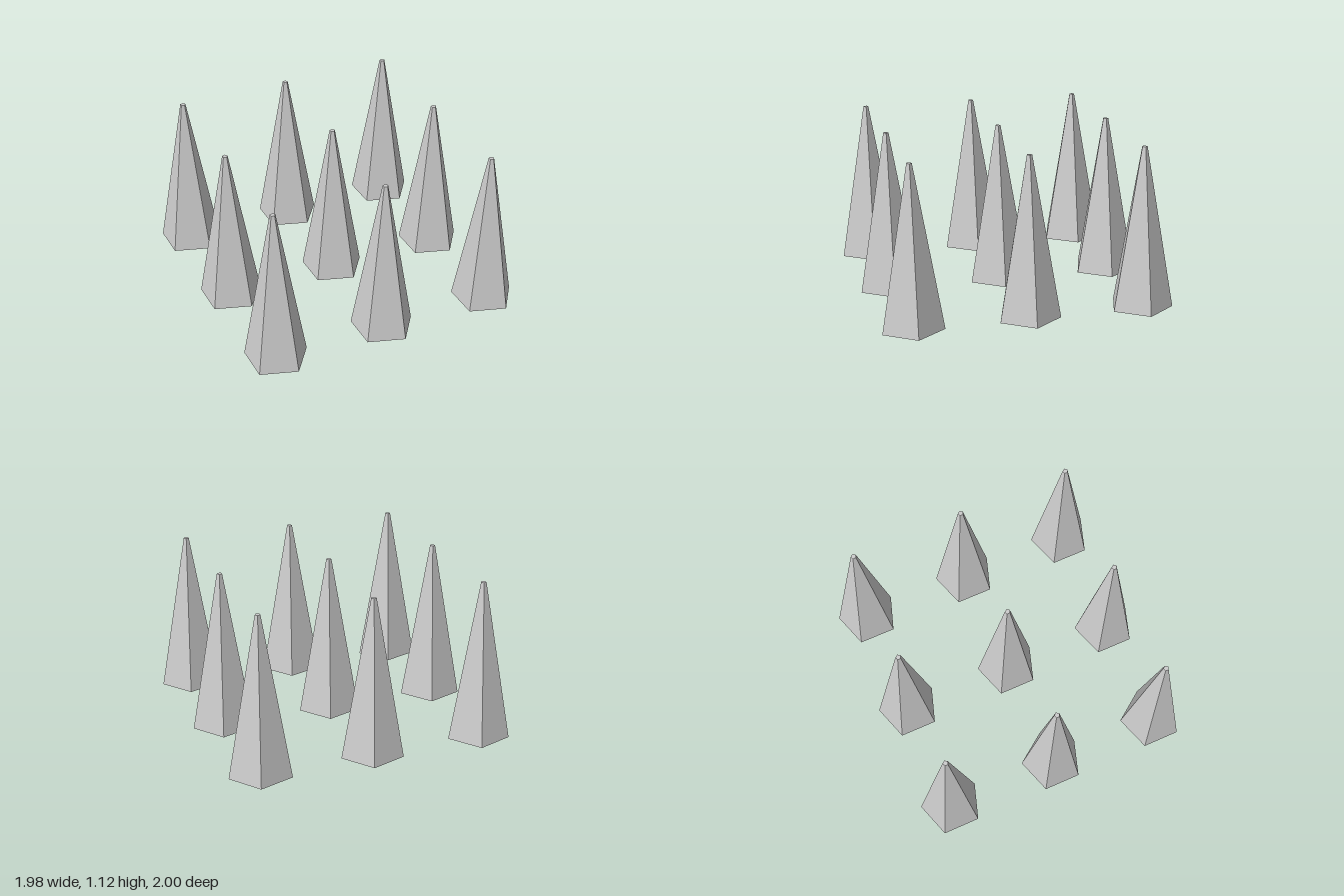
import * as THREE from 'three';

export function createModel() {
  const model = new THREE.Group();
  model.name = 'spikeGrid';

  const grey = new THREE.MeshStandardMaterial({ color: 0xcccccc, flatShading: true });
  grey.name = 'plain grey';

  const radius = 0.22, tipRadius = 0.019, height = 1.12, spacing = 0.79;

  // Five-sided tapered spike with a small flat tip, one edge pointing to +x
  const spike = new THREE.CylinderGeometry(tipRadius, radius, height, 5, 1, false, Math.PI / 2);
  // A pentagon is lopsided in x, so shift it to centre the whole grid
  const shift = -radius * (1 - Math.cos(Math.PI / 5)) / 2;
  spike.translate(shift, height / 2, 0);

  // Three rows of three spikes
  for (let row = -1; row <= 1; row++) {
    for (let col = -1; col <= 1; col++) {
      const mesh = new THREE.Mesh(spike, grey);
      mesh.name = `spikeRow${row + 2}Column${col + 2}`;
      mesh.position.set(col * spacing, 0, row * spacing);
      model.add(mesh);
    }
  }
  return model;
}
